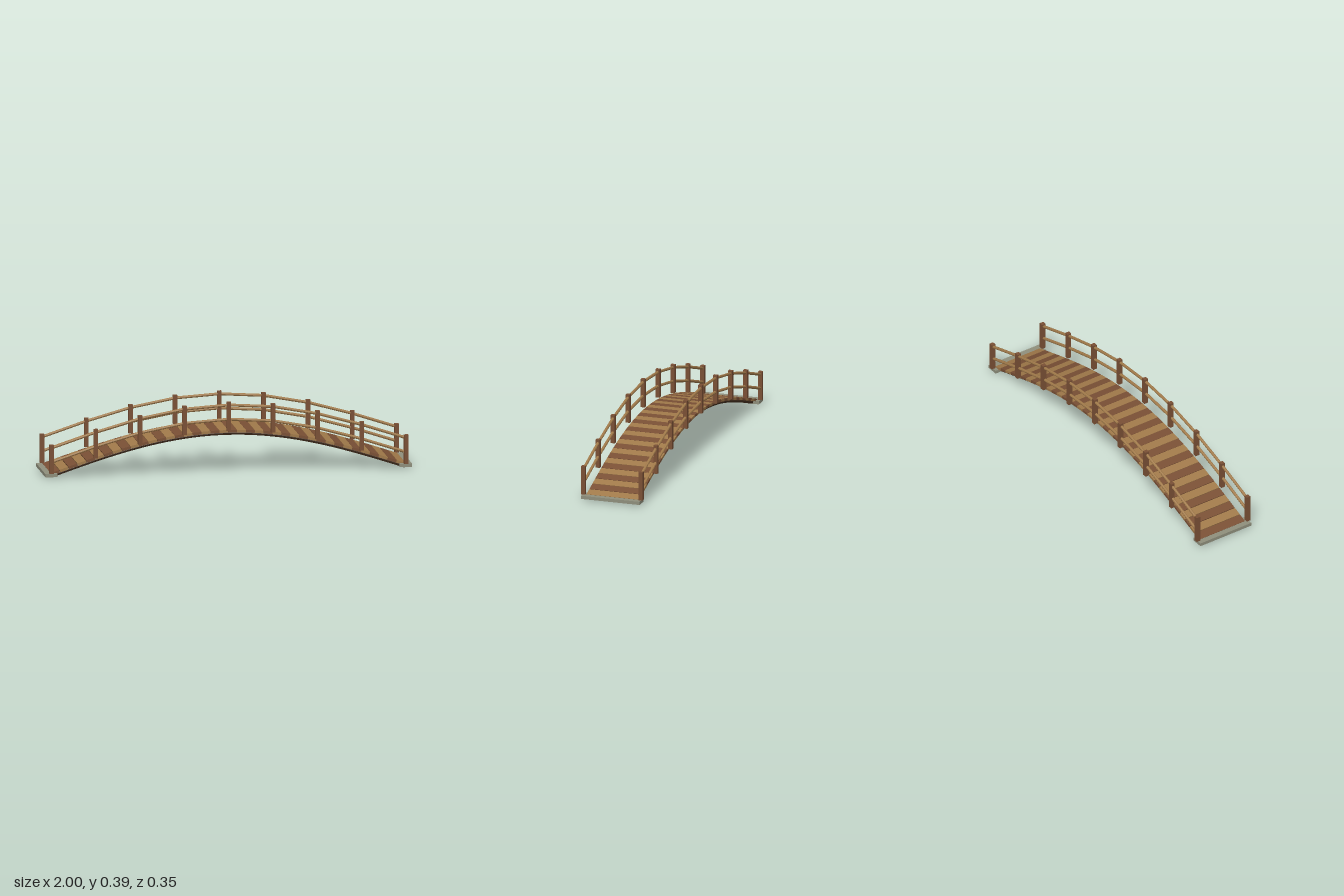
import * as THREE from 'three';

const SPAN = 0.967;  // half length of the arch
const RISE = 0.208;
const BASE = 0.029;  // walking surface height at the ends
const POST_Z = 0.1645;

const arch = x => RISE * Math.cos((Math.PI / 2) * x / SPAN);
const slope = x => -RISE * (Math.PI / 2 / SPAN) * Math.sin((Math.PI / 2) * x / SPAN);
const mat = color => new THREE.MeshStandardMaterial({ color, flatShading: true });

export function createModel() {
  const model = new THREE.Group();
  const darkWood = mat(0x7a5035);
  const lightWood = mat(0xa17a4a);
  const beamWood = mat(0x4a3322);
  const stone = mat(0x8f8f7c);

  const add = (parent, name, geometry, material, x, y, z) => {
    const mesh = new THREE.Mesh(geometry, material);
    mesh.name = name;
    mesh.position.set(x, y, z);
    parent.add(mesh);
    return mesh;
  };
  const group = name => {
    const g = new THREE.Group();
    g.name = name;
    model.add(g);
    return g;
  };

  // Deck of alternating planks, tilted to follow the arch
  const deck = group('deck');
  const count = 40, step = 2 * SPAN / count, thick = 0.014;
  const plankGeo = new THREE.BoxGeometry(0.0478, thick, 0.294);
  for (let i = 0; i < count; i++) {
    const x = -SPAN + (i + 0.5) * step;
    const plank = add(deck, 'plank', plankGeo, i % 2 ? lightWood : darkWood,
      x, BASE + arch(x) - thick / 2, 0);
    plank.rotation.z = Math.atan(slope(x));
  }

  // Six-sided beams under the deck, built from rings along the arch
  const beam = group('supportBeams');
  for (const z of [-0.123, 0.123]) {
    const segs = 40, sides = 6, r = 0.0125, pos = [], idx = [];
    for (let i = 0; i <= segs; i++) {
      const x = -SPAN + 2 * SPAN * i / segs, tilt = Math.atan(slope(x));
      for (let k = 0; k < sides; k++) {
        const a = k * 2 * Math.PI / sides, up = r * Math.sin(a);
        pos.push(x - up * Math.sin(tilt), 0.0105 + arch(x) + up * Math.cos(tilt), r * Math.cos(a));
        if (i < segs) {
          const p = i * sides + k, q = i * sides + (k + 1) % sides;
          idx.push(p, p + sides, q, q, p + sides, q + sides);
        }
      }
    }
    // End caps
    const last = segs * sides;
    for (let k = 1; k < sides - 1; k++) {
      idx.push(0, k, k + 1, last, last + k + 1, last + k);
    }
    const geo = new THREE.BufferGeometry();
    geo.setAttribute('position', new THREE.Float32BufferAttribute(pos, 3));
    geo.setIndex(idx);
    geo.computeVertexNormals();
    const mesh = add(beam, 'supportBeam', geo, beamWood, 0, 0, z);
    mesh.material.side = THREE.DoubleSide;
  }

  // Railings: posts joined by straight round rails
  const bays = 8, postHeight = 0.158;
  const postGeo = new THREE.BoxGeometry(0.023, postHeight, 0.023);
  for (const side of [1, -1]) {
    const railing = group(side > 0 ? 'frontRailing' : 'backRailing');
    const z = side * POST_Z;
    const postX = i => -SPAN + 2 * SPAN * i / bays;
    for (let i = 0; i <= bays; i++) {
      const x = postX(i);
      add(railing, 'post', postGeo, darkWood, x, BASE + arch(x) + postHeight / 2, z);
    }
    for (const [name, h] of [['topRail', 0.141], ['middleRail', 0.063]]) {
      for (let i = 0; i < bays; i++) {
        const a = new THREE.Vector3(postX(i), BASE + arch(postX(i)) + h, z);
        const b = new THREE.Vector3(postX(i + 1), BASE + arch(postX(i + 1)) + h, z);
        const dir = b.clone().sub(a);
        const rail = add(railing, name,
          new THREE.CylinderGeometry(0.008, 0.008, dir.length(), 8), lightWood,
          (a.x + b.x) / 2, (a.y + b.y) / 2, z);
        rail.quaternion.setFromUnitVectors(new THREE.Vector3(0, 1, 0), dir.normalize());
      }
    }
  }

  // Stone footings at both ends
  const footGeo = new THREE.BoxGeometry(0.066, 0.018, 0.334);
  for (const s of [-1, 1]) add(model, 'footing', footGeo, stone, s * 0.967, 0.019, 0);

  return model;
}
